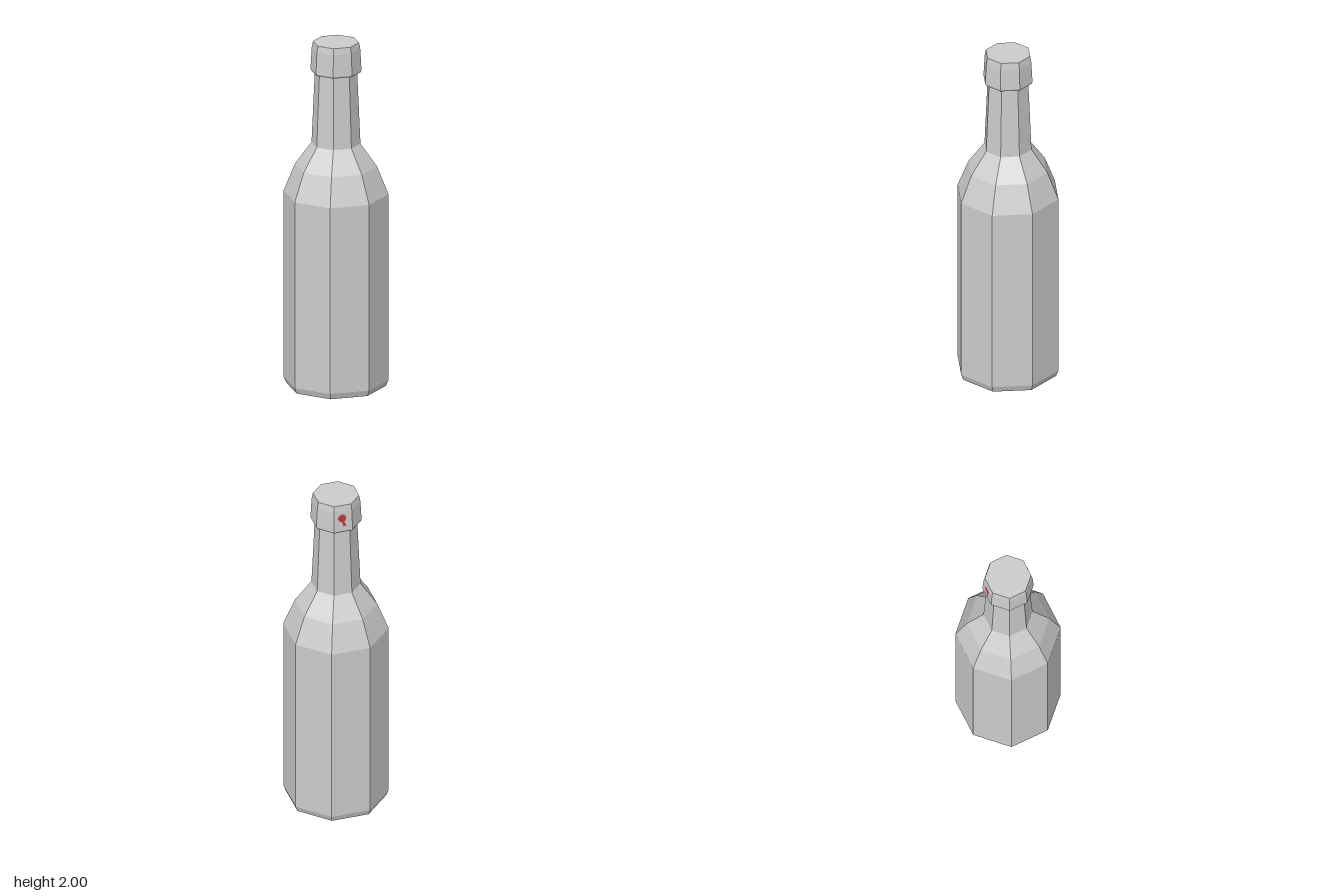
import * as THREE from 'three';

const SIDES = 8;

// Faceted solid of revolution from [radius, height] pairs, bottom to top
function turned(name, profile, material) {
  const points = profile.map(([r, y]) => new THREE.Vector2(r, y));
  const mesh = new THREE.Mesh(new THREE.LatheGeometry(points, SIDES), material);
  mesh.name = name;
  return mesh;
}

export function createModel() {
  const model = new THREE.Group();
  model.name = 'bottle';
  const grey = new THREE.MeshStandardMaterial({ color: 0xcccccc, flatShading: true });
  const red = new THREE.MeshStandardMaterial({ color: 0xb83a3a, side: THREE.DoubleSide });

  // Body with bevelled base, two-step shoulder and tapering neck
  model.add(turned('bottleBody', [
    [0, 0], [0.28, 0], [0.294, 0.035], [0.294, 1.12],
    [0.23, 1.28], [0.137, 1.41], [0.118, 1.84],
  ], grey));

  // Cap: slightly flared skirt, bevelled rims and flat top
  model.add(turned('cap', [
    [0.115, 1.828], [0.138, 1.828], [0.143, 1.838],
    [0.136, 1.962], [0.129, 2], [0, 2],
  ], grey));

  // Small red mark with a tail, lying on the back-right face of the cap
  const mark = new THREE.Group();
  mark.name = 'redMark';
  mark.rotation.y = Math.PI - Math.PI / SIDES;

  const blob = new THREE.Mesh(new THREE.CircleGeometry(0.024, 16), red);
  blob.name = 'markSpot';
  blob.position.set(-0.005, 1.92, 0.1285);
  blob.rotation.x = -0.052;

  const tailShape = new THREE.Shape([
    new THREE.Vector2(-0.004, -0.018), new THREE.Vector2(0.008, -0.053),
    new THREE.Vector2(0.024, -0.05), new THREE.Vector2(0.01, -0.018),
  ]);
  const tail = new THREE.Mesh(new THREE.ShapeGeometry(tailShape), red);
  tail.name = 'markTail';
  tail.position.copy(blob.position);
  tail.rotation.copy(blob.rotation);

  mark.add(blob, tail);
  model.add(mark);
  return model;
}
